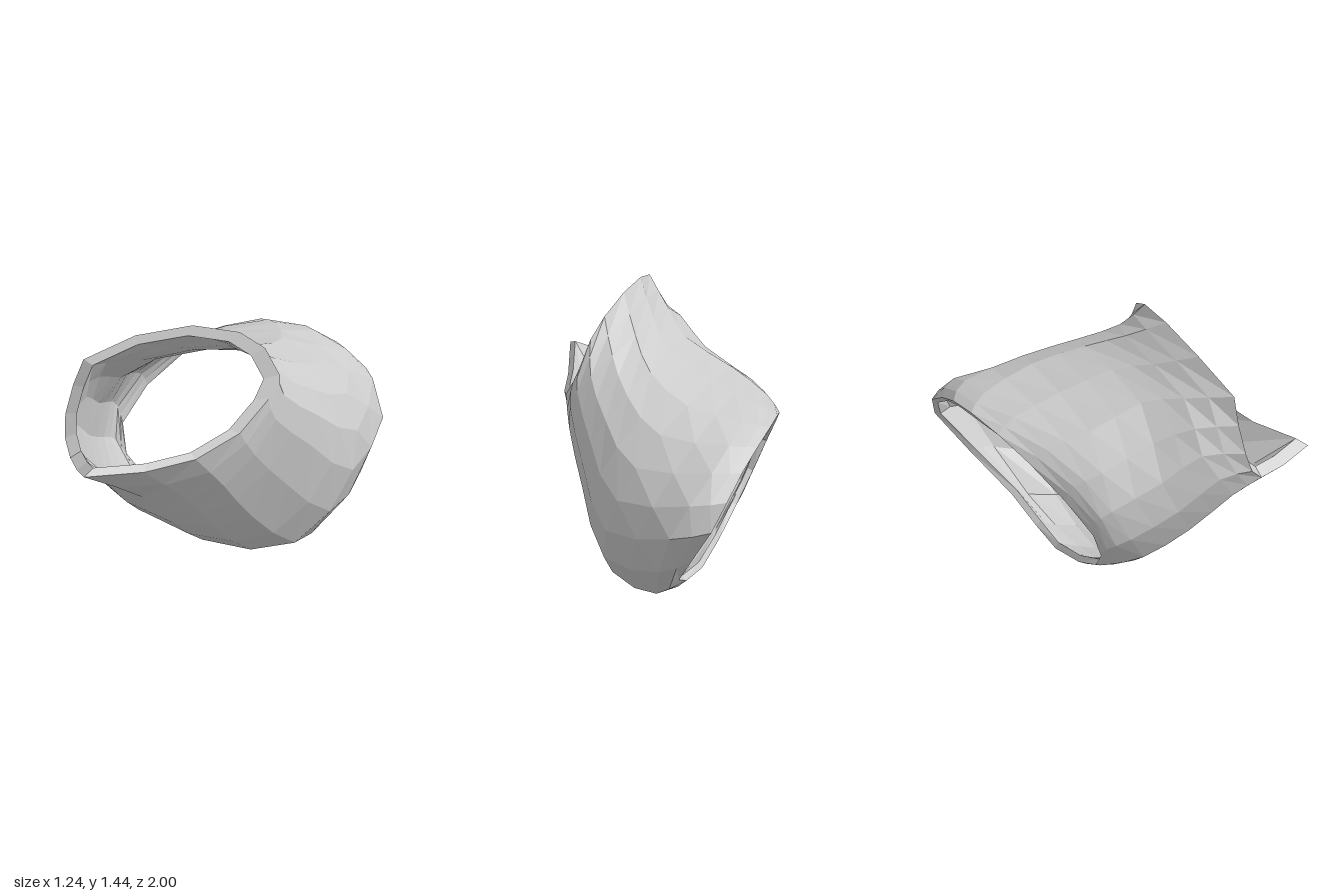
import * as THREE from 'three';

// Control rings from the wide back mouth towards the pointed front mouth.
// Each ring: right, top right, top, top left, left, bottom left, bottom, bottom right.
const SECTIONS = [
  [[.31, .6, -1], [.08, .865, -.93], [-.2, .98, -.74], [-.46, .87, -.4], [-.59, .54, -.05], [-.4, .22, -.06], [-.04, .05, -.32], [.26, .16, -.59]],
  [[.49, .56, -.88], [.24, .88, -.89], [-.07, 1.02, -.69], [-.43, .95, -.32], [-.62, .64, -.03], [-.49, .29, .01], [-.01, .015, -.21], [.36, .08, -.53]],
  [[.62, .47, -.45], [.5, .84, -.55], [.14, 1.08, -.47], [-.36, 1.03, -.1], [-.61, .71, .05], [-.48, .35, .2], [-.02, .05, 0], [.43, .09, -.2]],
  [[.58, .72, -.15], [.5, .99, -.25], [.2, 1.175, -.2], [-.22, 1.14, .15], [-.5, .84, .3], [-.42, .5, .43], [-.02, .25, .25], [.38, .35, .1]],
  [[.52, .95, .08], [.46, 1.15, -.03], [.16, 1.29, .02], [-.25, 1.21, .38], [-.43, .98, .5], [-.36, .7, .65], [-.03, .5, .5], [.35, .6, .3]],
].map(toVectors);

// Flared front edge: a corner at the upper left and a sharp tip at the bottom
const FRONT_EDGE = toVectors([
  [.49, 1.07, .1], [.5, 1.18, .02], [.42, 1.32, .04], [.3, 1.4, .1],
  [.1, 1.435, .24], [-.12, 1.39, .44], [-.3, 1.28, .65], [-.345, 1.13, .68],
  [-.365, .97, .72], [-.345, .85, .75], [-.28, .77, .79], [-.16, .775, .89],
  [-.03, .82, 1], [.15, .79, .72], [.31, .82, .49], [.43, .92, .27],
]);

function toVectors(ring) {
  return ring.map((p) => new THREE.Vector3(...p));
}

// Resample a control ring to twice as many points
function smoothRing(points) {
  const curve = new THREE.CatmullRomCurve3(points, true, 'catmullrom', 0.5);
  const n = points.length * 2;
  return Array.from({ length: n }, (_, i) => curve.getPoint(i / n));
}

// Skin a list of rings with quads
function loft(rings) {
  const n = rings[0].length;
  const index = [];
  for (let i = 0; i < rings.length - 1; i++) {
    for (let j = 0; j < n; j++) {
      const k = (j + 1) % n;
      const a = i * n + j, b = i * n + k, c = b + n, d = a + n;
      index.push(a, b, c, a, c, d);
    }
  }
  const geometry = new THREE.BufferGeometry().setFromPoints(rings.flat());
  geometry.setIndex(index);
  geometry.computeVertexNormals();
  return geometry;
}

// Move every ring point inwards along the surface normal
function insetRings(rings, depth) {
  const normals = loft(rings).attributes.normal;
  const n = rings[0].length;
  return rings.map((ring, i) => ring.map((p, j) =>
    new THREE.Vector3().fromBufferAttribute(normals, i * n + j).multiplyScalar(-depth).add(p)));
}

// Pull a ring towards its own middle
function shrinkRing(ring, factor) {
  const middle = new THREE.Vector3();
  ring.forEach((p) => middle.addScaledVector(p, 1 / ring.length));
  return ring.map((p) => middle.clone().lerp(p, factor));
}

export function createModel() {
  const group = new THREE.Group();
  group.name = 'flaredSleeve';
  const grey = new THREE.MeshStandardMaterial({ color: 0xcccccc, flatShading: true, side: THREE.DoubleSide });
  grey.name = 'lightGrey';

  // Smooth each lengthwise line through the control rings
  const control = [...SECTIONS.map(smoothRing), FRONT_EDGE];
  const lines = FRONT_EDGE.map((_, j) =>
    new THREE.CatmullRomCurve3(control.map((ring) => ring[j]), false, 'catmullrom', 0.5));
  const steps = (control.length - 1) * 2;
  const outer = Array.from({ length: steps + 1 }, (_, i) => lines.map((line) => line.getPoint(i / steps)));

  // The lining follows the shell and ends in a wider lip at the front
  const inner = insetRings(outer, 0.035);
  inner[steps] = shrinkRing(outer[steps], 0.87);

  const add = (name, rings) => {
    const mesh = new THREE.Mesh(loft(rings), grey);
    mesh.name = name;
    group.add(mesh);
  };
  add('outerShell', outer);
  add('innerLining', [...inner].reverse());
  add('frontLip', [outer[steps], inner[steps]]);
  add('backLip', [inner[0], outer[0]]);
  return group;
}
